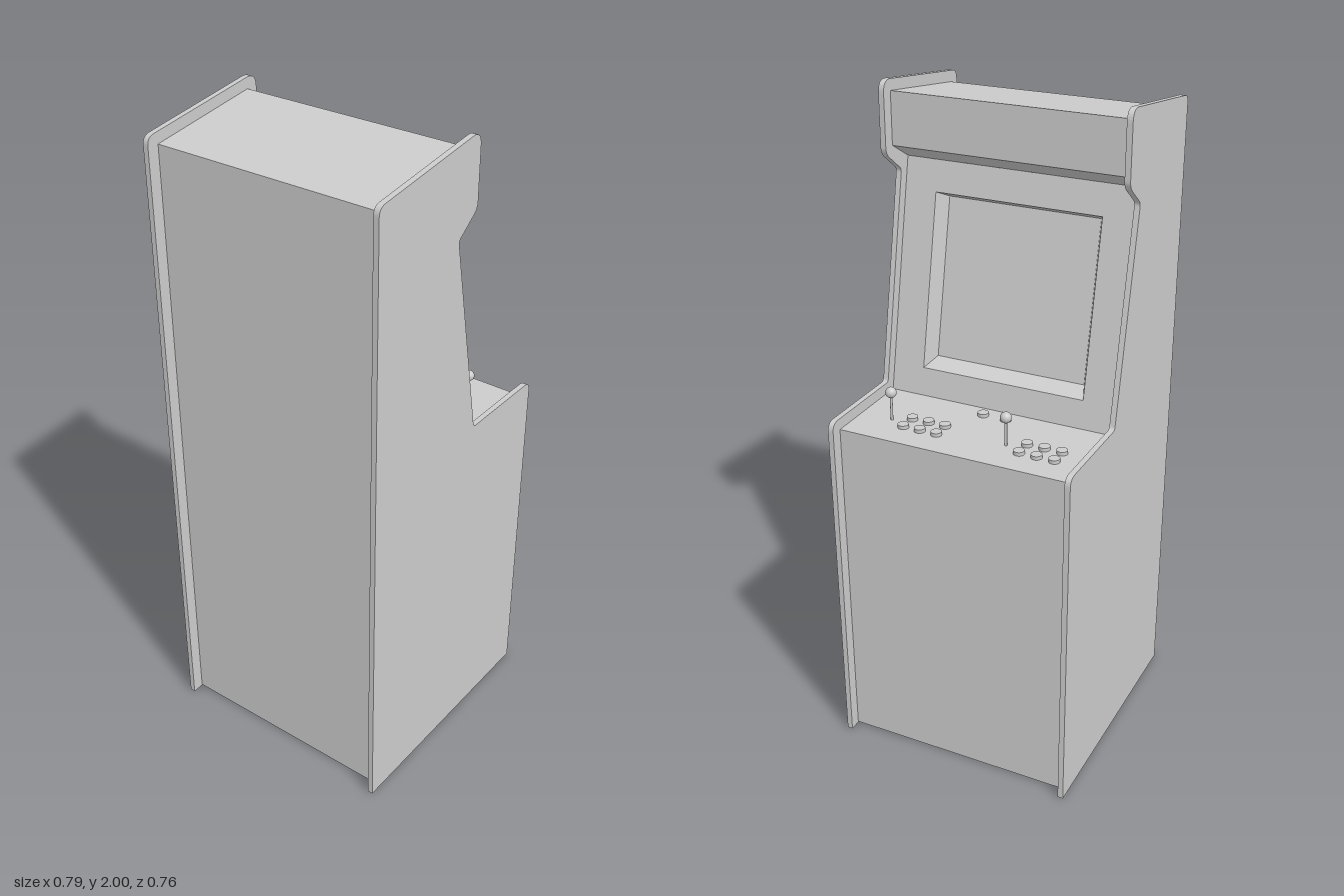
import * as THREE from 'three';

const material = new THREE.MeshStandardMaterial({ color: 0xcccccc });
const INNER = 0.361; // half width between the side panels
const PANEL = 0.017; // side panel thickness
const DECK = 1.066; // control deck height

function add(parent, name, geometry, x = 0, y = 0, z = 0) {
  const mesh = new THREE.Mesh(geometry, material);
  mesh.name = name;
  mesh.position.set(x, y, z);
  parent.add(mesh);
  return mesh;
}

// Flat-shaded geometry from a list of counter-clockwise quads.
function quadGeometry(quads) {
  const points = quads.flatMap(([a, b, c, d]) => [a, b, c, a, c, d]);
  const geometry = new THREE.BufferGeometry();
  geometry.setAttribute('position', new THREE.Float32BufferAttribute(points.flat(), 3));
  geometry.computeVertexNormals();
  return geometry;
}

// Closed outline whose corners [x, y, r] are rounded by r.
function roundedOutline(corners) {
  const shape = new THREE.Shape();
  const n = corners.length;
  corners.forEach(([x, y, r], i) => {
    const toward = ([px, py]) => {
      const length = Math.hypot(px - x, py - y);
      return [x + ((px - x) * r) / length, y + ((py - y) * r) / length];
    };
    const start = toward(corners[(i + n - 1) % n]);
    if (i === 0) shape.moveTo(...start);
    else shape.lineTo(...start);
    if (r > 0) shape.quadraticCurveTo(x, y, ...toward(corners[(i + 1) % n]));
  });
  shape.closePath();
  return shape;
}

export function createModel() {
  const model = new THREE.Group();
  model.name = 'arcadeCabinet';

  // Side panels, standing slightly proud of the body
  const sideShape = roundedOutline([
    [-0.397, 0, 0], [0.393, 0, 0], [0.393, 1.1, 0.03], [0.08, 1.1, 0.012],
    [-0.046, 1.73, 0.012], [0.037, 1.793, 0.02], [0.037, 2.004, 0.04], [-0.397, 1.946, 0.025],
  ]);
  const sideGeometry = new THREE.ExtrudeGeometry(sideShape, {
    depth: PANEL, bevelEnabled: false, curveSegments: 8,
  });
  add(model, 'backSidePanel', sideGeometry, 0, 0, -INNER - PANEL);
  add(model, 'frontSidePanel', sideGeometry, 0, 0, INNER);

  // Body skin: canopy, top, back, base, front and control deck
  const profile = [
    [-0.086, 1.76], [0, 1.81], [0, 1.966], [-0.36, 1.917],
    [-0.36, 0.003], [0.357, 0.003], [0.357, DECK], [0.052, DECK],
  ];
  const skin = [];
  for (let i = 0; i < profile.length - 1; i++) {
    const p = profile[i], q = profile[i + 1];
    skin.push([[...p, -INNER], [...q, -INNER], [...q, INNER], [...p, INNER]]);
  }
  add(model, 'body', quadGeometry(skin));

  // Sloping bezel, tapered recess and screen, as nested rectangles
  const rectangle = (y0, y1, halfWidth, depth) =>
    [[y0, halfWidth], [y0, -halfWidth], [y1, -halfWidth], [y1, halfWidth]]
      .map(([y, z]) => [0.052 - 0.1988 * (y - DECK) - depth, y, z]);
  const ring = (outer, inner) => outer.map((corner, i) => {
    const j = (i + 1) % 4;
    return [corner, outer[j], inner[j], inner[i]];
  });
  const edge = rectangle(DECK, 1.76, INNER, 0);
  const opening = rectangle(1.15, 1.668, 0.261, 0);
  const screen = rectangle(1.172, 1.646, 0.24, 0.05);
  add(model, 'bezel', quadGeometry(ring(edge, opening)));
  add(model, 'screenRecess', quadGeometry(ring(opening, screen)));
  add(model, 'screen', quadGeometry([screen]));

  // Buttons
  const buttonGeometry = new THREE.CylinderGeometry(0.0165, 0.0165, 0.012, 32);
  const addButton = (name, x, z) => add(model, name, buttonGeometry, x, DECK + 0.005, z);
  for (const z of [-0.044, 0.03]) addButton('startButton', 0.096, z);

  // Two player stations: a joystick and a 2 by 3 block of buttons each
  for (const stickZ of [-0.112, 0.258]) {
    for (const x of [0.21, 0.264]) {
      for (let k = 1; k <= 3; k++) addButton('actionButton', x, stickZ - 0.054 * k);
    }
    const joystick = new THREE.Group();
    joystick.name = 'joystick';
    joystick.position.set(0.236, DECK, stickZ);
    add(joystick, 'joystickShaft', new THREE.CylinderGeometry(0.004, 0.004, 0.08, 16), 0, 0.04, 0);
    add(joystick, 'joystickBall', new THREE.SphereGeometry(0.0165, 32, 20), 0, 0.088, 0);
    model.add(joystick);
  }

  return model;
}
